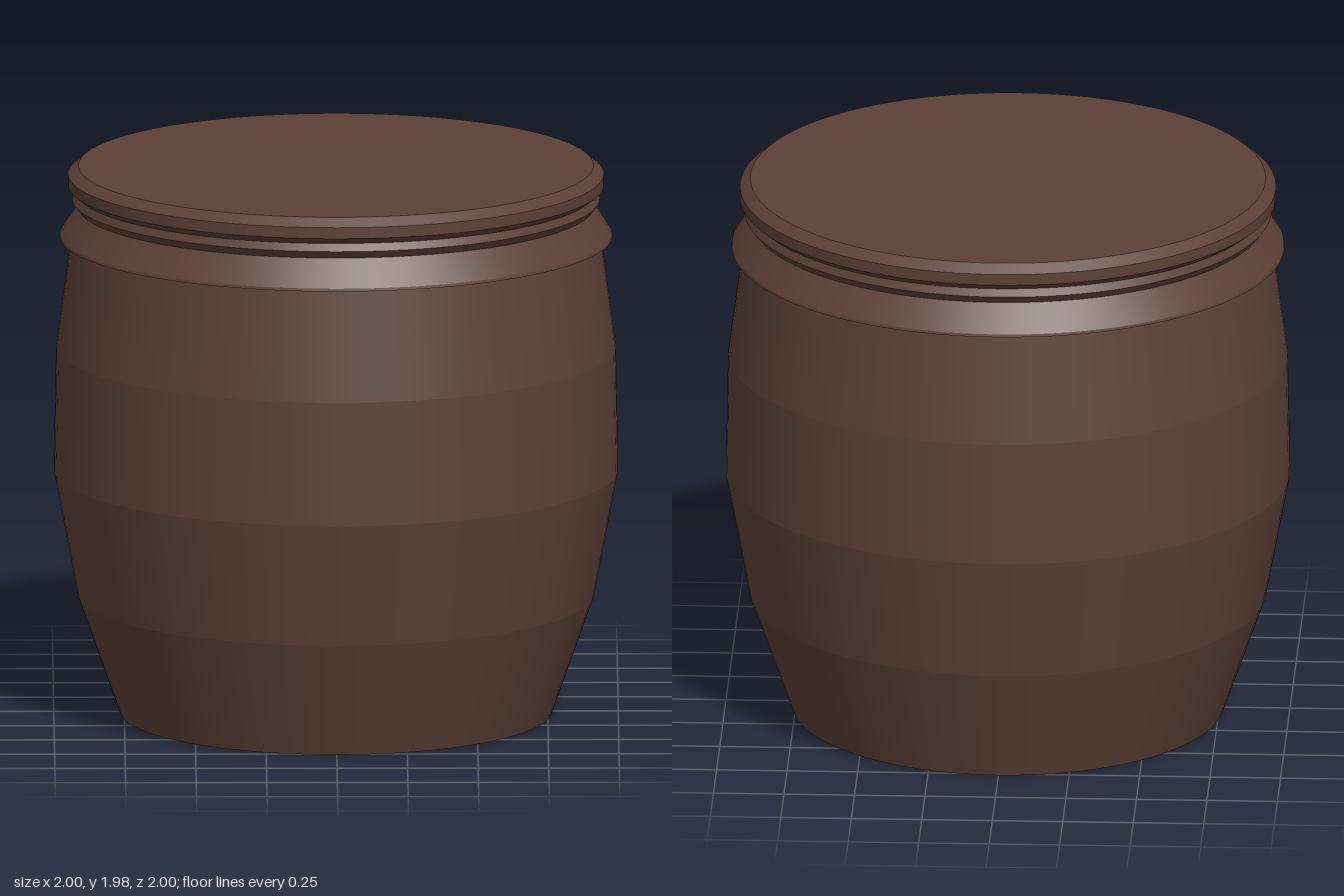
import * as THREE from 'three';
import { mergeGeometries } from 'three/addons/utils/BufferGeometryUtils.js';

// Revolve each profile segment separately: smooth around, crisp between bands
function banded(profile, sides = 96) {
  const bands = [];
  for (let i = 0; i < profile.length - 1; i++) {
    const pair = [profile[i], profile[i + 1]].map(([r, y]) => new THREE.Vector2(r, y));
    bands.push(new THREE.LatheGeometry(pair, sides));
  }
  return mergeGeometries(bands);
}

export function createModel() {
  const group = new THREE.Group();
  group.name = 'jar';
  const brown = new THREE.MeshStandardMaterial({ color: 0x5d4037 });
  brown.name = 'dark brown clay';

  const add = (name, geometry) => {
    const mesh = new THREE.Mesh(geometry, brown);
    mesh.name = name;
    group.add(mesh);
  };
  const disc = (radius, y, tilt) =>
    new THREE.CircleGeometry(radius, 96).rotateX(tilt).translate(0, y, 0);

  // Bulging body with its base
  add('body', banded([[0.765, 0], [0.915, 0.425], [1, 0.875], [0.992, 1.32], [0.938, 1.725]]));
  add('base', disc(0.765, 0, Math.PI / 2));

  // Sloping collar, including its flat underside and thin lip
  add('collar', banded([[0.93, 1.72], [0.98, 1.72], [0.978, 1.73], [0.915, 1.828]]));

  // Grooved neck ring
  add('neckRing', banded([[0.915, 1.828], [0.935, 1.855], [0.922, 1.882]]));

  // Lid with chamfered edges
  add('lidRim', banded([[0.922, 1.882], [0.95, 1.905], [0.95, 1.945], [0.913, 1.975]]));
  add('lidTop', disc(0.913, 1.975, -Math.PI / 2));

  return group;
}
